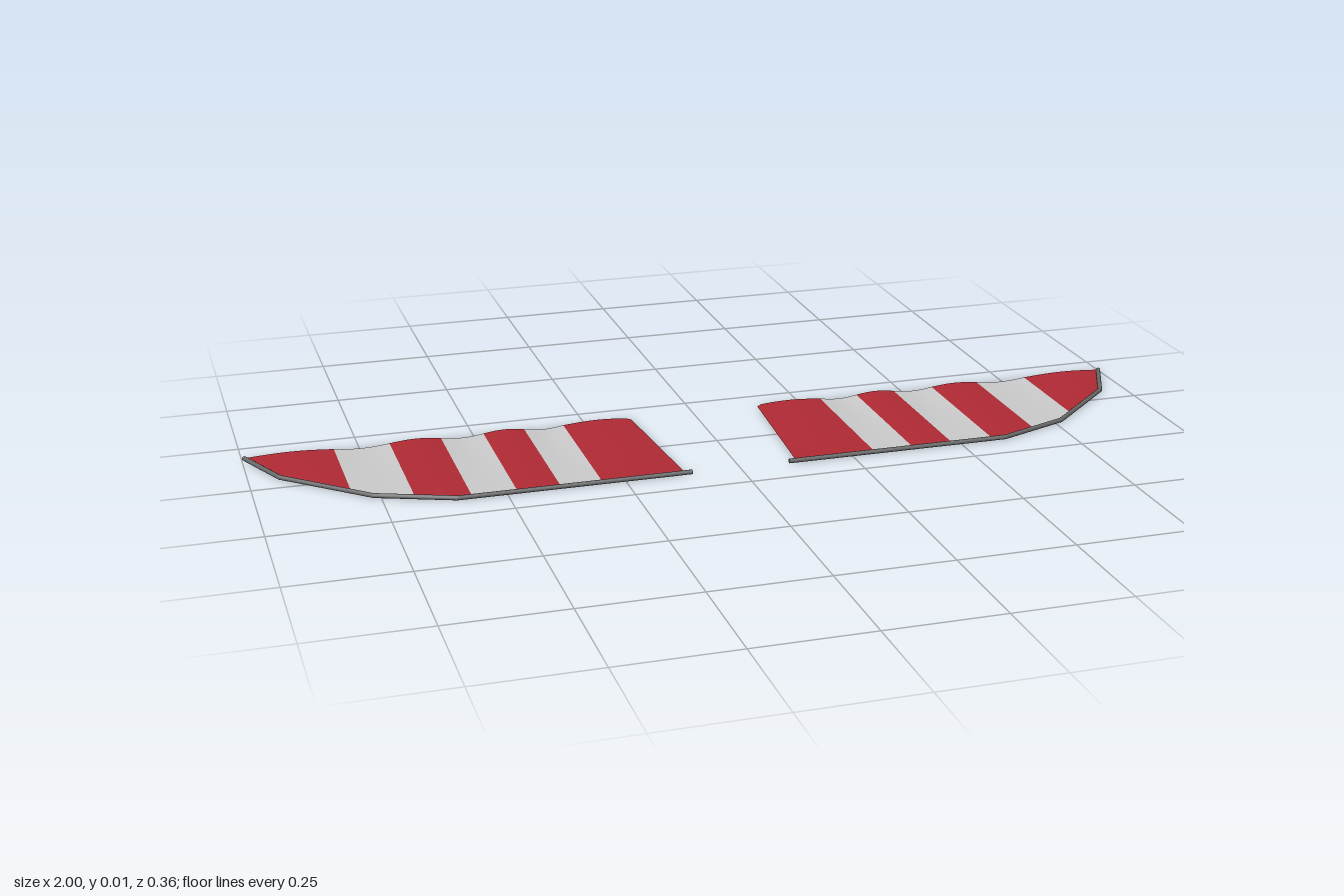
import * as THREE from 'three';

const R = 0.005;
const BACK = -0.178;
// Spar path in (x, z), from the inner end out to the wing tip
const SPAR = [[0.107, 0.174], [0.603, 0.174], [0.765, 0.111], [0.936, -0.046], [0.995, BACK]];
// Stripe borders along x, red first and alternating
const BORDERS = [0.122, 0.30, 0.388, 0.479, 0.573, 0.685, 0.805, 0.995];

const red = new THREE.MeshStandardMaterial({ color: 0xb02a34, side: THREE.DoubleSide });
const grey = new THREE.MeshStandardMaterial({ color: 0xcccccc, side: THREE.DoubleSide });
const dark = new THREE.MeshStandardMaterial({ color: 0x6a6a6a });

// z of the spar at a given x
function sparZ(x) {
  for (let i = 1; i < SPAR.length; i++) {
    const [x0, z0] = SPAR[i - 1], [x1, z1] = SPAR[i];
    if (x <= x1) return z0 + (z1 - z0) * (x - x0) / (x1 - x0);
  }
  return BACK;
}

// One cloth stripe: flat at the spar, gently billowing at the trailing edge
function stripe(i, side) {
  const x0 = BORDERS[i], x1 = BORDERS[i + 1], cols = 24, rows = 6;
  const geo = new THREE.PlaneGeometry(1, 1, cols, rows);
  const p = geo.attributes.position;
  for (let k = 0; k < p.count; k++) {
    const u = side > 0 ? p.getX(k) + 0.5 : 0.5 - p.getX(k);
    const v = p.getY(k) + 0.5; // 0 at the spar, 1 at the trailing edge
    const x = x0 + (x1 - x0) * u;
    const corner = i === 0 ? 0.008 * Math.max(0, 1 - u * 12) : 0;
    const front = sparZ(x);
    const z = front + (BACK + corner - front) * v;
    const slant = i === 0 ? 0.025 * v * (1 - u) : 0; // inner edge leans outward
    const y = R + 0.0045 * v * Math.sin(Math.PI * u) * (i % 2 ? -1 : 1);
    p.setXYZ(k, side * (x + slant), y, z);
  }
  geo.computeVertexNormals();
  const mesh = new THREE.Mesh(geo, i % 2 ? grey : red);
  mesh.name = i % 2 ? 'greyStripe' : 'redStripe';
  return mesh;
}

// Thin rod following the leading edge, with rounded joints
function spar(side) {
  const group = new THREE.Group();
  group.name = 'spar';
  const pts = SPAR.map(([x, z]) => new THREE.Vector3(side * x, R, z));
  for (let i = 1; i < pts.length; i++) {
    const dir = pts[i].clone().sub(pts[i - 1]);
    const rod = new THREE.Mesh(new THREE.CylinderGeometry(R, R, dir.length(), 12), dark);
    rod.name = 'sparRod';
    rod.position.copy(pts[i]).add(pts[i - 1]).multiplyScalar(0.5);
    rod.quaternion.setFromUnitVectors(new THREE.Vector3(0, 1, 0), dir.normalize());
    group.add(rod);
    if (i < pts.length - 1) {
      const joint = new THREE.Mesh(new THREE.SphereGeometry(R, 12, 8), dark);
      joint.name = 'sparJoint';
      joint.position.copy(pts[i]);
      group.add(joint);
    }
  }
  return group;
}

export function createModel() {
  const model = new THREE.Group();
  model.name = 'stripedWings';
  for (const side of [1, -1]) {
    const wing = new THREE.Group();
    wing.name = side > 0 ? 'leftWing' : 'rightWing';
    for (let i = 0; i < BORDERS.length - 1; i++) wing.add(stripe(i, side));
    wing.add(spar(side));
    model.add(wing);
  }
  return model;
}
